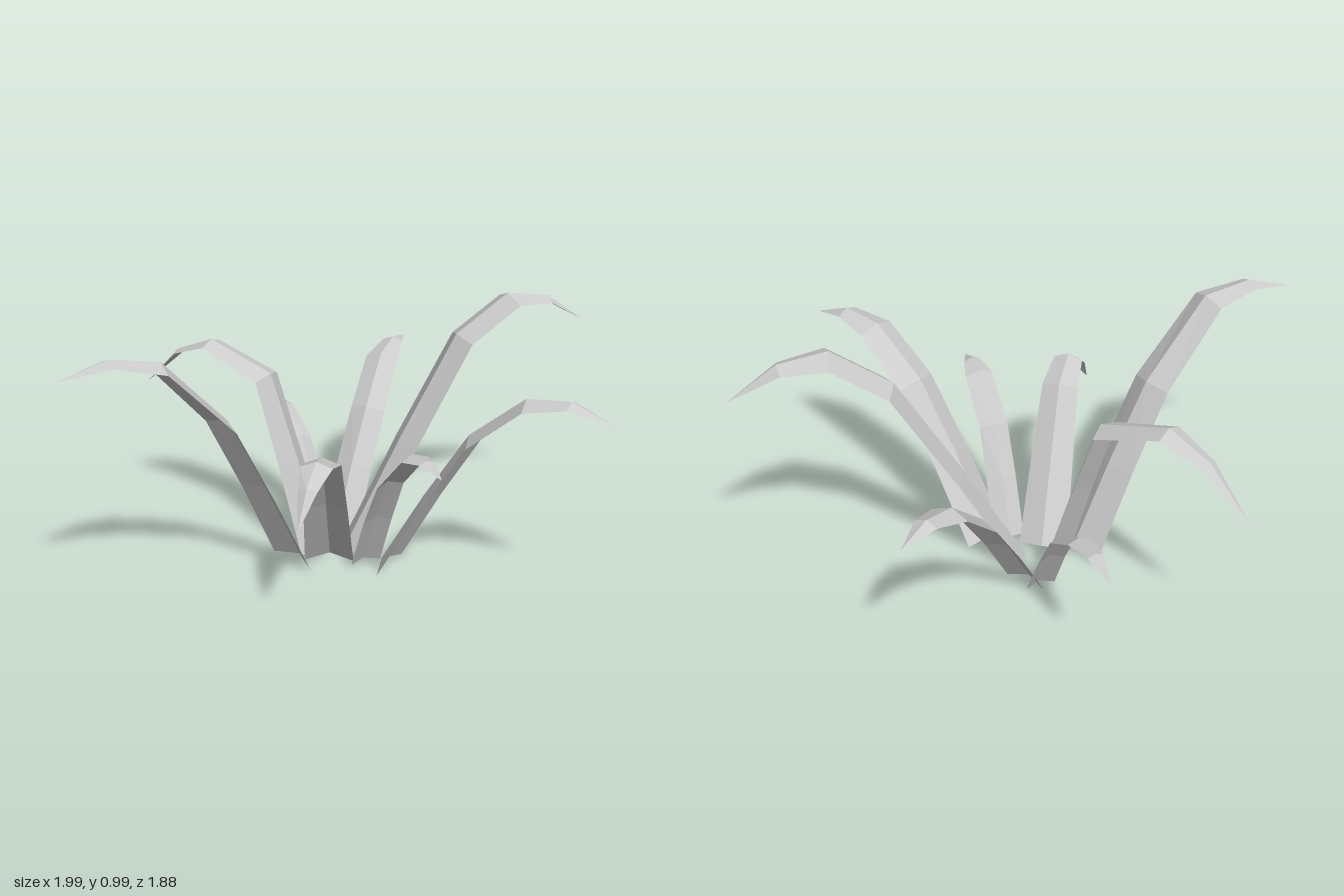
import * as THREE from 'three';

const material = new THREE.MeshStandardMaterial({
  color: 0xcccccc, flatShading: true, side: THREE.DoubleSide,
});
const vec = (p) => new THREE.Vector3(...p);

// Six ridge points: the lower stem and the drooping end are bowed slightly upwards.
function makeRidge([rootX, rootZ], shoulder, crest, tip) {
  const root = vec([rootX, 0.025, rootZ]);
  const s = vec(shoulder);
  const c = vec(crest);
  const t = vec(tip);
  const stem = root.clone().lerp(s, 0.5);
  stem.y += 0.015;
  const droop = c.clone().lerp(t, 0.5);
  droop.y += 0.12 * c.distanceTo(t);
  return [root, stem, s, c, droop, t];
}

// Folded strip: a raised centre ridge with both edges dropped below it.
function makeLeaf(name, root, shoulder, crest, tip, rootHalf, crestHalf) {
  const ridge = makeRidge(root, shoulder, crest, tip);
  const last = ridge.length - 1;
  const positions = [];
  const index = [];
  ridge.forEach((p, i) => {
    // Slow taper up to the crest, then quickly to a point
    const half = i <= 3 ? THREE.MathUtils.lerp(rootHalf, crestHalf, i / 3)
      : i < last ? 0.62 * crestHalf : 0;
    const tangent = ridge[Math.min(i + 1, last)].clone().sub(ridge[Math.max(i - 1, 0)]).normalize();
    const side = new THREE.Vector3(tangent.z, 0, -tangent.x).normalize();
    const normal = tangent.clone().cross(side);
    const low = p.clone().addScaledVector(normal, -0.38 * half);
    const edgeA = low.clone().addScaledVector(side, -half);
    const edgeB = low.clone().addScaledVector(side, half);
    positions.push(...edgeA, ...p, ...edgeB);
    if (i === last) return;
    for (const a of [i * 3, i * 3 + 1]) {
      index.push(a, a + 4, a + 1);
      if (i < last - 1) index.push(a, a + 3, a + 4);
    }
    // At the point, the second half also closes onto the tip through a + 4
  });
  const indexed = new THREE.BufferGeometry();
  indexed.setAttribute('position', new THREE.Float32BufferAttribute(positions, 3));
  indexed.setIndex(index);
  const geometry = indexed.toNonIndexed();
  geometry.computeVertexNormals();
  const mesh = new THREE.Mesh(geometry, material);
  mesh.name = name;
  return mesh;
}

export function createModel() {
  const plant = new THREE.Group();
  plant.name = 'plant';
  // name, root (x, z), shoulder, crest, tip, half width at root and at crest
  plant.add(
    makeLeaf('leftSideLeaf', [0.1, -0.065], [0.45, 0.61, -0.067], [0.66, 0.785, -0.07], [0.99, 0.74, -0.075], 0.104, 0.08),
    makeLeaf('tallBackLeaf', [-0.075, -0.08], [0.21, 0.85, -0.45], [0.35, 0.995, -0.61], [0.565, 0.845, -0.895], 0.092, 0.088),
    makeLeaf('backLeaf', [-0.17, -0.175], [-0.2, 0.47, -0.475], [-0.235, 0.64, -0.665], [-0.268, 0.645, -0.94], 0.08, 0.07),
    makeLeaf('shortBackLeaf', [-0.22, -0.18], [-0.39, 0.37, -0.27], [-0.52, 0.465, -0.345], [-0.735, 0.435, -0.46], 0.058, 0.046),
    makeLeaf('rightSideLeaf', [-0.16, -0.05], [-0.38, 0.71, -0.04], [-0.66, 0.805, -0.045], [-1, 0.57, -0.06], 0.104, 0.06),
    makeLeaf('longFrontLeaf', [-0.2, 0.06], [-0.3, 0.67, 0.37], [-0.375, 0.95, 0.63], [-0.565, 0.935, 0.94], 0.11, 0.08),
    makeLeaf('curvedFrontLeaf', [-0.1, -0.005], [0.05, 0.57, 0.295], [0.115, 0.62, 0.44], [0.145, 0.43, 0.615], 0.095, 0.058),
    makeLeaf('shortFrontLeaf', [0.035, -0.035], [0.2, 0.43, 0.08], [0.335, 0.59, 0.15], [0.5, 0.565, 0.257], 0.062, 0.055),
  );
  return plant;
}
